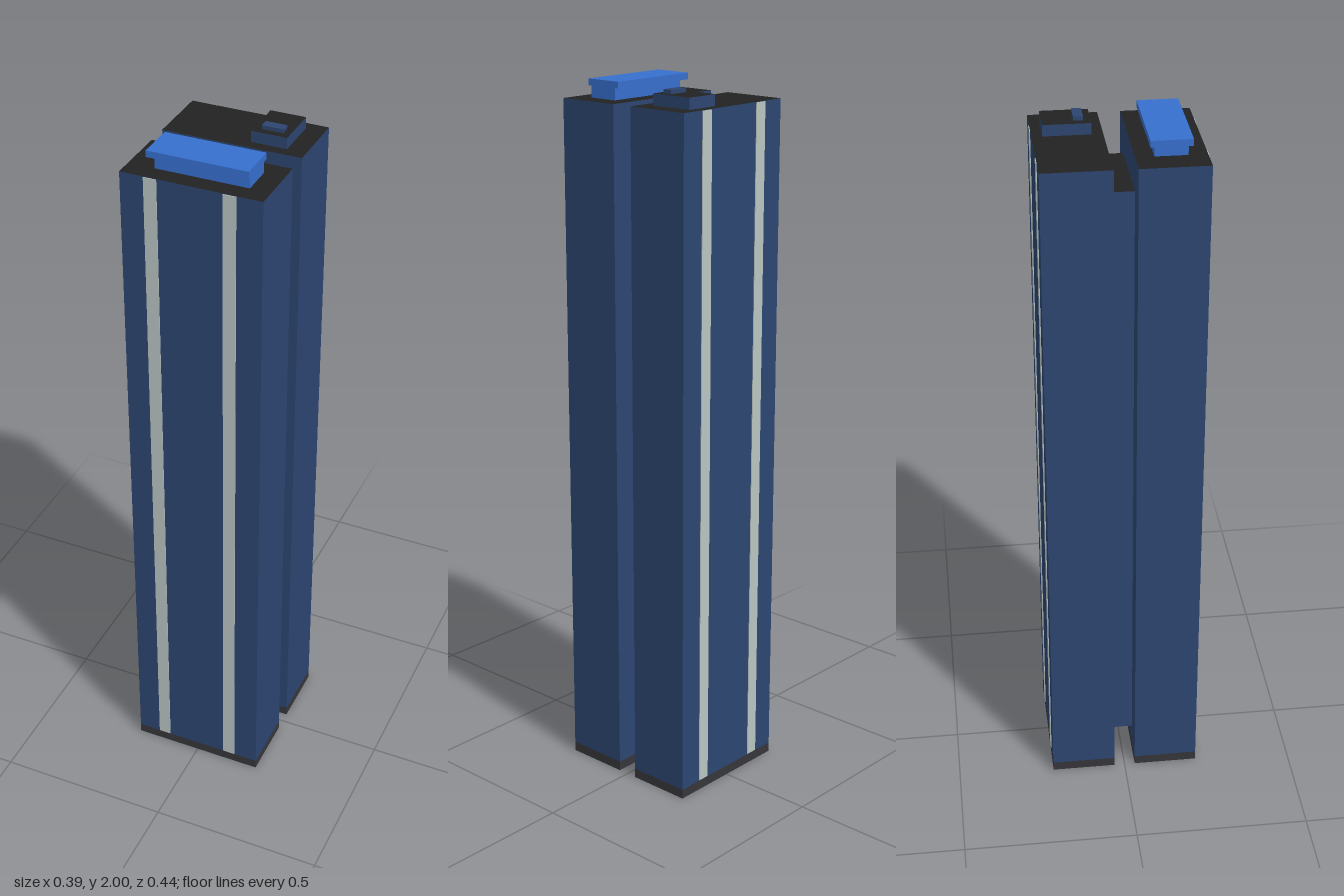
import * as THREE from 'three';

const mat = (name, color) => {
  const m = new THREE.MeshStandardMaterial({ color });
  m.name = name;
  return m;
};

export function createModel() {
  const model = new THREE.Group();
  model.name = 'twinTowerBlock';

  const navy = mat('navy cladding', 0x2c4570);
  const pale = mat('pale stripe', 0xb8c4c1);
  const dark = mat('dark roof', 0x222222);
  const grey = mat('grey plinth', 0x36363b);
  const bright = mat('bright blue', 0x376fce);

  // Box given by its limits; sides, top and bottom may differ in colour
  const box = (parent, name, [x0, x1], [y0, y1], [z0, z1], side, top = side, bottom = side) => {
    const mesh = new THREE.Mesh(
      new THREE.BoxGeometry(x1 - x0, y1 - y0, z1 - z0),
      side === top && side === bottom ? side : [side, side, top, bottom, side, side]
    );
    mesh.position.set((x0 + x1) / 2, (y0 + y1) / 2, (z0 + z1) / 2);
    mesh.name = name;
    parent.add(mesh);
    return mesh;
  };

  // Two slabs, each with a plinth and two stripes on the outer face
  for (const s of [1, -1]) {
    const tower = new THREE.Group();
    tower.name = s > 0 ? 'frontTower' : 'backTower';
    const depth = s > 0 ? [0.031, 0.217] : [-0.217, -0.031];
    box(tower, 'plinth', [-0.194, 0.194], [0, 0.028], depth, grey, grey, dark);
    box(tower, 'shaft', [-0.194, 0.194], [0.028, 1.95], depth, navy, dark, dark);
    const face = s > 0 ? [0.216, 0.219] : [-0.219, -0.216];
    for (const x of [-0.11, 0.105]) {
      box(tower, 'stripe', [x - 0.018, x + 0.018], [0.03, 1.949], face, pale);
    }
    model.add(tower);
  }

  // Recessed link between the towers
  box(model, 'link', [-0.124, 0.124], [0.09, 1.86], [-0.032, 0.032], navy, dark, dark);

  // Bright canopy on the front roof
  const canopy = new THREE.Group();
  canopy.name = 'roofCanopy';
  box(canopy, 'canopyBase', [-0.12, 0.137], [1.95, 1.982], [0.08, 0.167], bright);
  box(canopy, 'canopySlab', [-0.139, 0.138], [1.982, 2], [0.067, 0.177], bright);
  model.add(canopy);

  // Plant room with a small vent on the back roof
  const plant = new THREE.Group();
  plant.name = 'plantRoom';
  box(plant, 'plantBody', [0.042, 0.141], [1.95, 1.981], [-0.189, -0.061], navy, dark);
  box(plant, 'vent', [0.063, 0.122], [1.981, 1.992], [-0.107, -0.081], navy);
  model.add(plant);

  return model;
}
